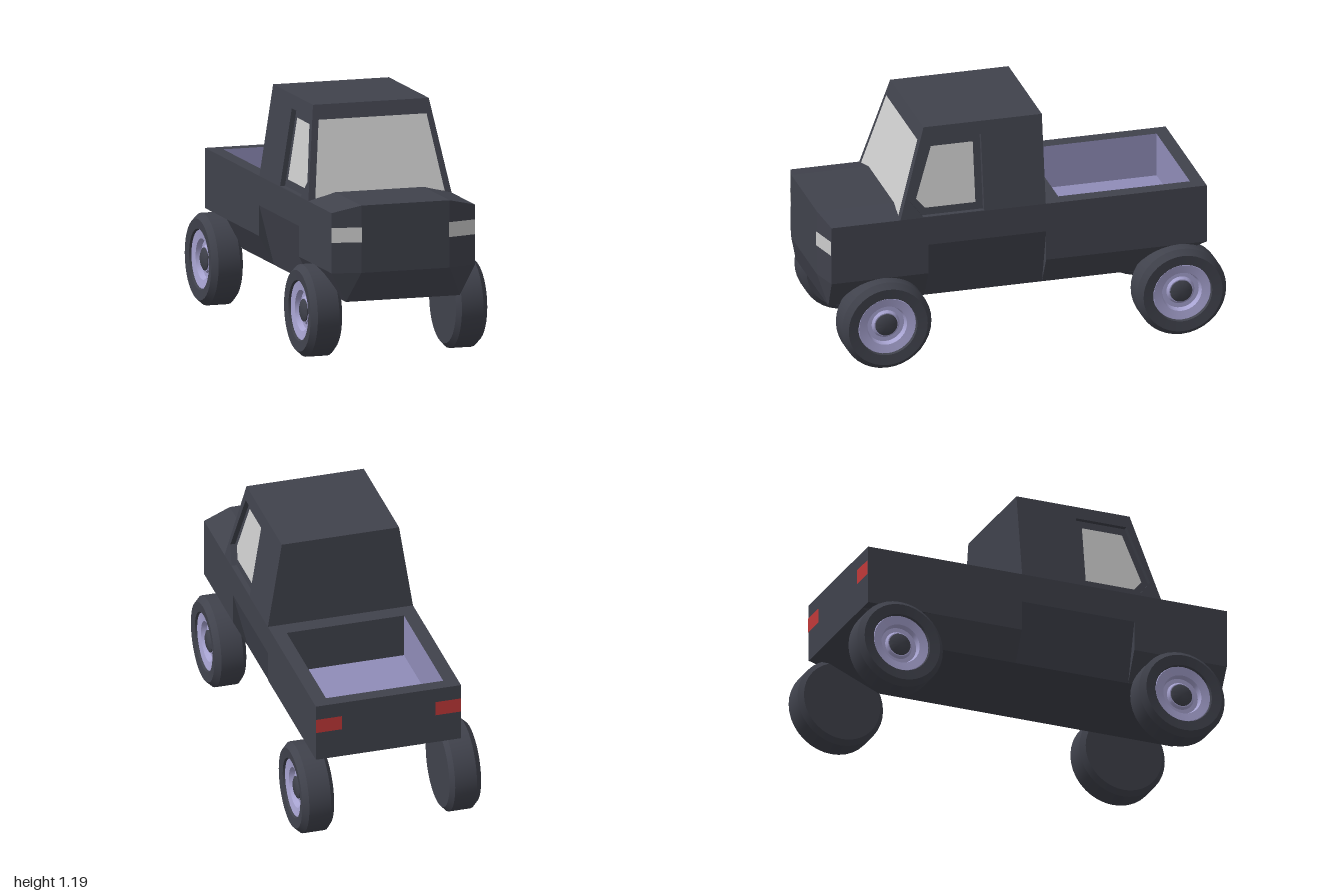
import * as THREE from 'three';
import { toCreasedNormals } from 'three/addons/utils/BufferGeometryUtils.js';

const mat = (color, extra = {}) => new THREE.MeshStandardMaterial({ color, ...extra });
const paint = mat(0x40424c, { flatShading: true });
const rubber = mat(0x40424c);
const lilac = mat(0x8f8cb8, { flatShading: true });
const rimPaint = mat(0xa8a4d2);
const glass = mat(0xcccccc, { flatShading: true });
const red = mat(0xc03838, { flatShading: true });

// Flat-faced geometry from convex polygons (counter-clockwise from outside)
function polys(faces) {
  const pos = [];
  for (const f of faces)
    for (let i = 1; i < f.length - 1; i++) pos.push(...f[0], ...f[i], ...f[i + 1]);
  const g = new THREE.BufferGeometry();
  g.setAttribute('position', new THREE.Float32BufferAttribute(pos, 3));
  g.computeVertexNormals();
  return g;
}
const flip = ([x, y, z]) => [-x, y, z];
const bothSides = (faces) => [...faces, ...faces.map((f) => f.map(flip).reverse())];

// Mirror a geometry across x = 0, keeping its faces outward
function mirrorX(geo) {
  const g = geo.index ? geo.toNonIndexed() : geo.clone();
  const p = g.attributes.position;
  const a = new THREE.Vector3(), b = new THREE.Vector3();
  g.scale(-1, 1, 1);
  for (let i = 0; i < p.count; i += 3) {
    a.fromBufferAttribute(p, i + 1);
    b.fromBufferAttribute(p, i + 2);
    p.setXYZ(i + 1, b.x, b.y, b.z);
    p.setXYZ(i + 2, a.x, a.y, a.z);
  }
  g.computeVertexNormals();
  return g;
}

const W = 0.365, BELT = 0.745, ROOF = 1.19, ROOF_W = 0.295, REAR = -0.915, CAB_BACK = -0.108;
const rise = (y) => (y - BELT) / (ROOF - BELT);
const cabHalf = (y) => W + (ROOF_W - W) * rise(y);
const screenZ = (y) => 0.62 - 0.135 * rise(y);

function bodyGeometry() {
  // Half cross-sections: z, sill x, sill y, floor y, floor z
  const stations = [
    [REAR, W, 0.45, 0.45, REAR], [-0.58, W, 0.45, 0.305, -0.58],
    [-0.11, W, 0.45, 0.305, -0.11], [-0.11, 0.3275, 0.4525, 0.305, -0.11],
    [0.48, 0.3275, 0.4525, 0.305, 0.48], [0.48, W, 0.45, 0.305, 0.48],
    [0.965, W, 0.45, 0.305, 0.96],
  ].map(([z, ex, ey, gy, gz]) => [[W, BELT, z], [W, 0.6, z], [ex, ey, z], [0.29, gy, gz]]);
  const sides = [], middle = [];
  for (let s = 0; s < stations.length - 1; s++) {
    const p = stations[s], q = stations[s + 1];
    for (let i = 0; i < 3; i++) sides.push([p[i], q[i], q[i + 1], p[i + 1]]);
    middle.push([p[3], q[3], flip(q[3]), flip(p[3])]);
  }
  // Nose, hood and tail
  const [a, , e, g] = stations[6];
  const c = [0.225, 0.78, 1], f = [0.225, 0.45, 1];
  const a0 = [W, BELT, 0.62], c0 = [0.225, 0.78, screenZ(0.78)];
  sides.push([a, c, f, e], [e, f, g], [a0, c0, c, a]);
  middle.push([c, flip(c), flip(f), f], [f, flip(f), flip(g), g], [c0, flip(c0), flip(c), c]);
  const t = stations[0];
  middle.push([flip(t[0]), t[0], t[2], flip(t[2])]);
  return polys([...bothSides(sides), ...middle]);
}

const outline = (pts) => pts.map(([x, y]) => new THREE.Vector2(x, y));

// Bend a flat (-z, y, depth) side panel onto the sloping cab wall
function ontoCabSide(geo, inset) {
  const p = geo.attributes.position;
  for (let i = 0; i < p.count; i++) {
    const u = p.getX(i), y = p.getY(i), d = p.getZ(i);
    p.setXYZ(i, cabHalf(y) - inset + d, y, -u);
  }
  geo.computeVertexNormals();
  return geo;
}

function wheel() {
  const lathe = (pts) => toCreasedNormals(new THREE.LatheGeometry(outline(pts), 36), 0.5);
  const g = new THREE.Group();
  const add = (name, geo, m) => {
    const mesh = new THREE.Mesh(geo, m);
    mesh.name = name;
    g.add(mesh);
  };
  add('tyre', lathe([[0, 0], [0.2, 0], [0.224, 0.022], [0.224, 0.132], [0.198, 0.16],
    [0.148, 0.155], [0.142, 0.125]]), rubber);
  add('rim', lathe([[0.146, 0.135], [0.142, 0.145], [0.1, 0.138], [0.092, 0.112],
    [0.07, 0.112], [0.06, 0.125], [0.05, 0.125]]), rimPaint);
  add('hubCap', lathe([[0.055, 0.1], [0.055, 0.13], [0.04, 0.138], [0, 0.138]]), rubber);
  return g;
}

export function createModel() {
  const model = new THREE.Group();
  const add = (name, geo, m) => {
    const mesh = new THREE.Mesh(geo, m);
    mesh.name = name;
    model.add(mesh);
  };
  const addPair = (name, geo, m) => {
    add(name + 'Left', geo, m);
    add(name + 'Right', mirrorX(geo), m);
  };

  add('body', bodyGeometry(), paint);

  // Cargo bed: rim, lilac liner and painted front wall
  const bx = 0.295, bz0 = -0.85, bz1 = -0.19, floor = 0.525;
  const rect = (x, y0, y1) => outline([[-x, y0], [x, y0], [x, y1], [-x, y1]]);
  const rim = new THREE.Shape(rect(W, 0.105, -REAR));
  rim.holes.push(new THREE.Path(rect(bx, -bz1, -bz0)));
  add('bedRim', new THREE.ShapeGeometry(rim).rotateX(-Math.PI / 2).translate(0, BELT, 0), paint);
  add('bedLiner', polys([
    [[bx, floor, bz0], [-bx, floor, bz0], [-bx, floor, bz1], [bx, floor, bz1]],
    [[-bx, BELT, bz0], [-bx, floor, bz0], [bx, floor, bz0], [bx, BELT, bz0]],
    ...bothSides([[[bx, BELT, bz0], [bx, floor, bz0], [bx, floor, bz1], [bx, BELT, bz1]]]),
  ]), lilac);
  add('bedFrontWall', polys([
    [[bx, BELT, bz1], [bx, floor, bz1], [-bx, floor, bz1], [-bx, BELT, bz1]],
  ]), paint);

  // Cab: roof, back and windscreen frame
  const rb = [ROOF_W, ROOF, CAB_BACK], rf = [ROOF_W, ROOF, 0.485];
  const lb = [W, BELT, CAB_BACK], lf = [W, BELT, 0.62];
  add('cabShell', polys([
    [rb, flip(rb), flip(rf), rf],
    [flip(rb), rb, lb, flip(lb)],
    [rf, flip(rf), flip(lf), lf],
  ]), paint);

  // Cab sides with recessed door windows
  const opening = outline([[-0.2, 0.748], [-0.2, 1.125], [-0.465, 1.125], [-0.568, 0.83], [-0.505, 0.748]]);
  const pane = outline([[-0.237, 0.785], [-0.237, 1.085], [-0.447, 1.085], [-0.532, 0.835], [-0.49, 0.785]]);
  const side = new THREE.Shape(outline([[-0.62, BELT], [-CAB_BACK, BELT], [-CAB_BACK, ROOF], [-0.485, ROOF]]));
  side.holes.push(new THREE.Path(opening));
  const depth = 0.025;
  addPair('cabSide', ontoCabSide(new THREE.ExtrudeGeometry(side, { depth, bevelEnabled: false }), depth), paint);
  addPair('windowFrame', ontoCabSide(new THREE.ShapeGeometry(new THREE.Shape(opening)), depth), paint);
  addPair('sideWindow', ontoCabSide(new THREE.ShapeGeometry(new THREE.Shape(pane)), depth - 0.004), glass);

  // Windscreen
  const onScreen = (x, y) => [x, y, screenZ(y) + 0.004];
  add('windscreen', polys([[onScreen(0.275, 1.12), onScreen(-0.275, 1.12), onScreen(-0.33, 0.755),
    onScreen(-0.22, 0.78), onScreen(0.22, 0.78), onScreen(0.33, 0.755)]]), glass);

  // Lamps
  const [y0, y1] = [0.6, 0.673];
  addPair('headlight', polys([[[W, y1, 0.968], [0.222, y1, 1.002], [0.222, y0, 1.002], [W, y0, 0.968]]]), glass);
  const tz = REAR - 0.003;
  addPair('tailLight', polys([[[0.235, y1, tz], [W, y1, tz], [W, y0, tz], [0.235, y0, tz]]]), red);

  // Wheels
  for (const [end, z] of [['front', 0.705], ['rear', -0.772]])
    for (const s of [1, -1]) {
      const w = wheel();
      w.name = end + 'Wheel' + (s > 0 ? 'Left' : 'Right');
      w.rotation.z = -s * Math.PI / 2;
      w.position.set(s * 0.29, 0.228, z);
      model.add(w);
    }
  return model;
}
